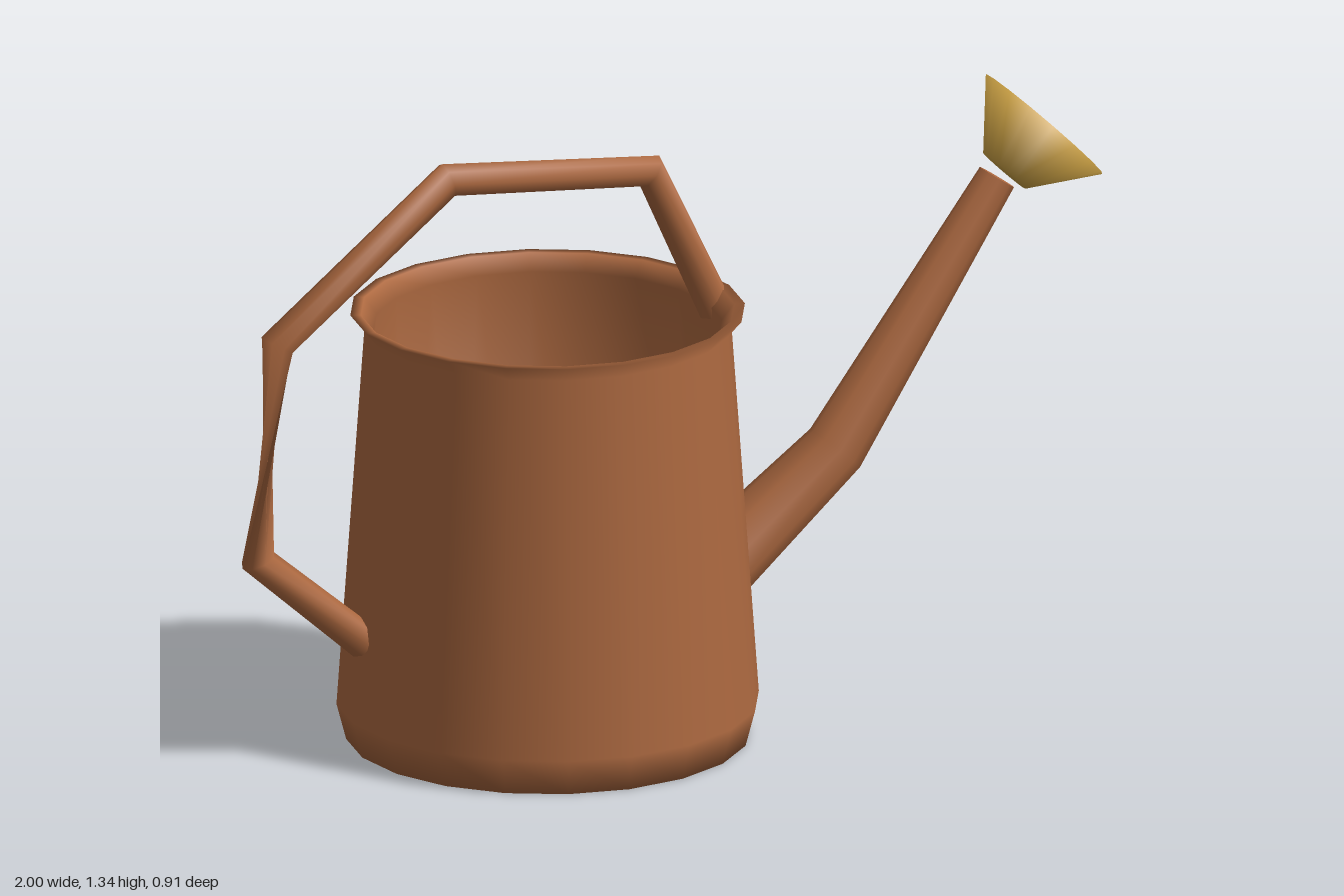
import * as THREE from 'three';

const copper = new THREE.MeshStandardMaterial({ color: 0xad6940 });
copper.name = 'copper';
const brass = new THREE.MeshStandardMaterial({ color: 0xcaa044 });
brass.name = 'brass';

// Closed tube through rings lying across a path in the xy plane.
// Ring: { x, y, r, rz (depth radius), t (tangent override), turn (twist angle) }
function ringTube(rings, sides) {
  const pos = [], idx = [];
  const direction = (a, b) => new THREE.Vector2(b.x - a.x, b.y - a.y).normalize();
  const addRing = (i) => {
    const ring = rings[i];
    const t = new THREE.Vector2();
    if (i > 0) t.add(direction(rings[i - 1], ring));
    if (i < rings.length - 1) t.add(direction(ring, rings[i + 1]));
    if (ring.t) t.set(...ring.t);
    t.normalize();
    const first = pos.length / 3;
    for (let j = 0; j < sides; j++) {
      const a = (j / sides) * Math.PI * 2 + (ring.turn ?? 0);
      const n = Math.cos(a) * ring.r;
      pos.push(ring.x - t.y * n, ring.y + t.x * n, Math.sin(a) * (ring.rz ?? ring.r));
    }
    return first;
  };
  // Walls
  const starts = rings.map((_, i) => addRing(i));
  for (let i = 0; i < rings.length - 1; i++) {
    for (let j = 0; j < sides; j++) {
      const k = (j + 1) % sides;
      const a = starts[i] + j, b = starts[i] + k, c = starts[i + 1] + j, d = starts[i + 1] + k;
      idx.push(a, b, c, b, d, c);
    }
  }
  // End caps
  for (const end of [0, rings.length - 1]) {
    const s = addRing(end);
    const centre = pos.length / 3;
    pos.push(rings[end].x, rings[end].y, 0);
    for (let j = 0; j < sides; j++) {
      const k = (j + 1) % sides;
      if (end === 0) idx.push(centre, s + k, s + j);
      else idx.push(centre, s + j, s + k);
    }
  }
  const geo = new THREE.BufferGeometry();
  geo.setAttribute('position', new THREE.Float32BufferAttribute(pos, 3));
  geo.setIndex(idx);
  geo.computeVertexNormals();
  return geo;
}

function lathe(profile, sides) {
  return new THREE.LatheGeometry(profile.map(([r, y]) => new THREE.Vector2(r, y)), sides);
}

export function createModel() {
  const group = new THREE.Group();
  const add = (name, geometry, material) => {
    const mesh = new THREE.Mesh(geometry, material);
    mesh.name = name;
    group.add(mesh);
    return mesh;
  };

  // Hollow tapered can with a flared rim
  const body = add('body', lathe([
    [0, 0], [0.435, 0], [0.456, 0.08], [0.396, 0.92], [0.426, 0.955],
    [0.403, 0.955], [0.376, 0.92], [0.44, 0.08], [0, 0.08],
  ], 20), copper);
  body.position.x = -0.285;

  // Bent, tapering spout
  add('spout', ringTube([
    { x: 0.13, y: 0.335, r: 0.108, rz: 0.083, t: [1, 0] },
    { x: 0.39, y: 0.555, r: 0.068 },
    { x: 0.77, y: 1.117, r: 0.043 },
  ], 10), copper);

  // Angular handle from the rim over to the back, twisted half a turn in its upright
  add('handle', ringTube([
    { x: 0.11, y: 0.905, r: 0.039 },
    { x: -0.045, y: 1.236, r: 0.039 },
    { x: -0.52, y: 1.277, r: 0.039 },
    { x: -0.92, y: 0.957, r: 0.039 },
    { x: -0.965, y: 0.477, r: 0.039, turn: Math.PI },
    { x: -0.715, y: 0.26, r: 0.039, turn: Math.PI },
  ], 8), copper);

  // Flared sprinkler head, tilted up and outwards
  const rose = add('sprinklerHead', lathe([
    [0, 0], [0.06, 0], [0.166, 0.132], [0, 0.132],
  ], 16), brass);
  rose.position.set(0.787, 1.129, 0);
  rose.rotation.z = -Math.PI / 4;

  return group;
}
